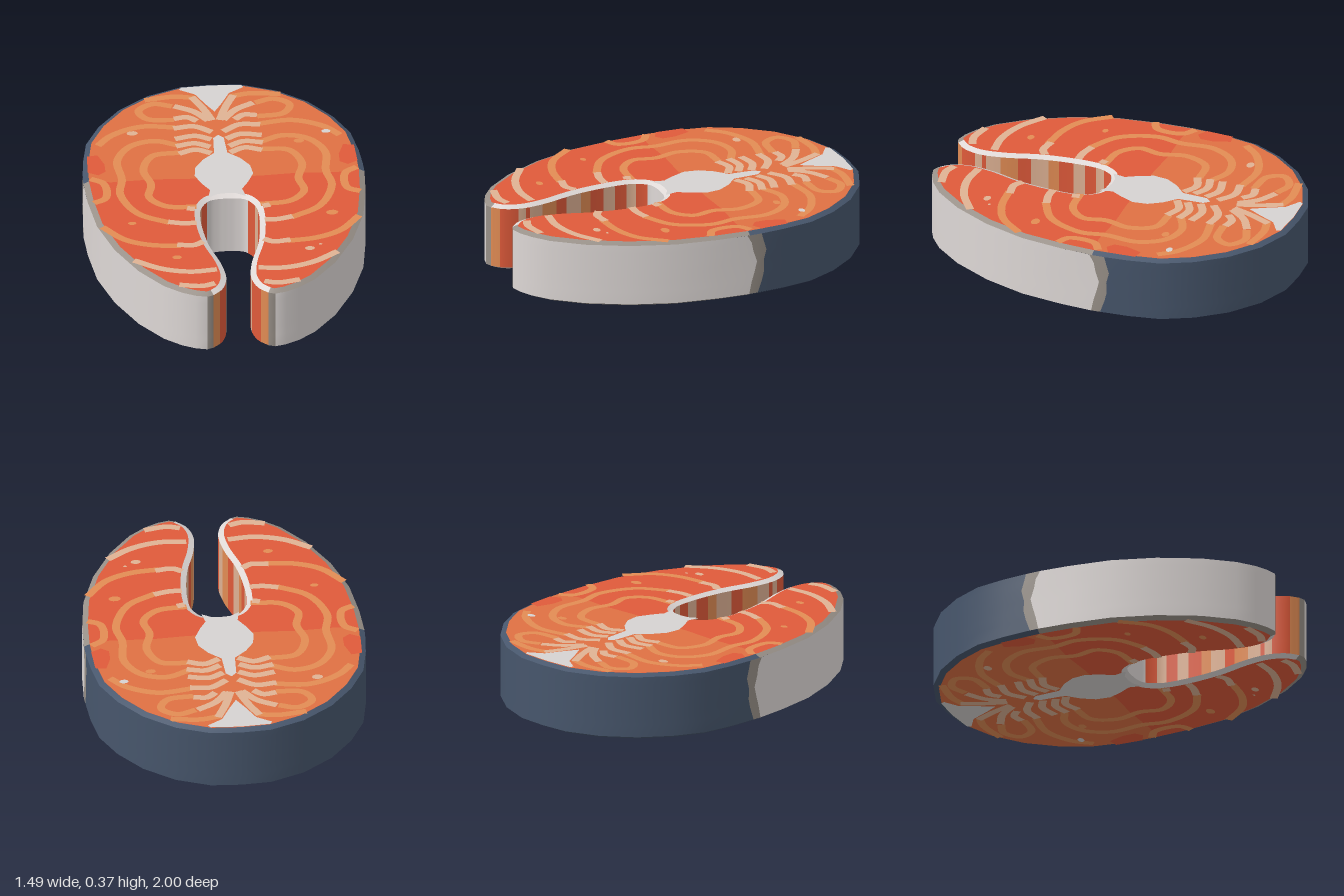
import * as THREE from 'three';

const mat = (name, color, side = THREE.FrontSide) => {
  const m = new THREE.MeshStandardMaterial({ color, side });
  m.name = name;
  return m;
};
const HEIGHT = 0.372, LAYER = 0.0012, CAP = 0.004, BEVEL = 0.03;

// Outer skin of one half, from the back centre round to the belly tip (x, z)
const OUTER = [[0, -1], [0.16, -0.99], [0.34, -0.92], [0.5, -0.8], [0.62, -0.65], [0.7, -0.49], [0.73, -0.32],
  [0.741, -0.2], [0.744, -0.12], [0.735, 0.06], [0.705, 0.29], [0.63, 0.52], [0.52, 0.73], [0.4, 0.88], [0.31, 0.95],
  [0.24, 0.985], [0.18, 1], [0.145, 0.987]];
// Belly cavity, from the tip back to the bone
const INNER = [[0.145, 0.987], [0.095, 0.935], [0.066, 0.84], [0.08, 0.7], [0.13, 0.52], [0.152, 0.36], [0.155, 0.24],
  [0.145, 0.17], [0.1, 0.1], [0.05, 0.083], [0, 0.08]];

const spline = (pts, n) => new THREE.CatmullRomCurve3(pts.map(([x, z]) => new THREE.Vector3(x, 0, z)))
  .getPoints(n).map(p => [p.x, p.z]);

// Even-width band along a curve, as a polygon
function band(pts, w) {
  const c = spline(pts, pts.length * 6), left = [], right = [];
  c.forEach(([x, z], i) => {
    const a = c[Math.max(i - 1, 0)], b = c[Math.min(i + 1, c.length - 1)];
    const l = Math.hypot(b[0] - a[0], b[1] - a[1]) || 1;
    const nx = (b[1] - a[1]) / l * w / 2, nz = -(b[0] - a[0]) / l * w / 2;
    left.push([x + nx, z + nz]);
    right.unshift([x - nx, z - nz]);
  });
  return left.concat(right);
}

// Closed loops stacked into a band of quads, one material index per column
function loft(rings, columnMat, materials, name) {
  const n = rings[0].length, pos = [], idx = [], g = new THREE.BufferGeometry();
  rings.forEach(r => r.forEach(p => pos.push(...p)));
  for (let i = 0; i < n; i++) {
    const start = idx.length, j = (i + 1) % n;
    for (let r = 0; r < rings.length - 1; r++) {
      const a = r * n + i, b = r * n + j, c = a + n, d = b + n;
      idx.push(a, c, b, b, c, d);
    }
    g.addGroup(start, idx.length - start, columnMat(i));
  }
  g.setAttribute('position', new THREE.Float32BufferAttribute(pos, 3));
  g.setIndex(idx);
  g.computeVertexNormals();
  const mesh = new THREE.Mesh(g, materials);
  mesh.name = name;
  return mesh;
}

export function createModel() {
  const model = new THREE.Group();
  model.name = 'fishSteak';
  const navy = mat('darkSkin', 0x47566c), silver = mat('silverSkin', 0xded8d6), taupe = mat('greySkin', 0x989088);
  const red = mat('redFlesh', 0xdf5a3a), orange = mat('orangeFlesh', 0xdf7143);
  const line = mat('orangeFat', 0xe28c54), tan = mat('paleFat', 0xdfb294), bone = mat('bone', 0xd6d2d1);
  const skins = [navy, taupe, silver, red, line, tan];

  // Full outline
  const half = OUTER.concat(spline(INNER, 56).slice(1));
  const outline = half.concat(half.slice(1, -1).reverse().map(([x, z]) => [-x, z]));
  const n = outline.length;
  const inset = d => outline.map(([x, z], i) => {
    const a = outline[(i + n - 1) % n], b = outline[(i + 1) % n];
    const l = Math.hypot(b[0] - a[0], b[1] - a[1]);
    return [x - (b[1] - a[1]) / l * d, z + (b[0] - a[0]) / l * d];
  });
  const halfSegment = i => (i < half.length - 1 ? i : n - 1 - i);

  // Stripes down the cavity wall: [lowest z, material index]
  const wallBands = [[0.95, 4], [0.87, 3], [0.83, 5], [0.79, 3], [0.72, 5], [0.64, 4], [0.55, 3], [0.48, 5], [0.42, 4],
    [0.34, 3], [0.28, 5], [0.21, 3], [0.16, 5], [0.105, 3], [-1, 2]];
  const wallColour = i => {
    const s = halfSegment(i), z = (half[s][1] + half[s + 1][1]) / 2;
    if (s >= OUTER.length - 1) return wallBands.find(b => z > b[0])[1];
    if (s === OUTER.length - 2) return 1;
    return z < -0.2 ? 0 : z < -0.12 ? 1 : 2;
  };
  const rimColour = i => {
    const s = halfSegment(i);
    return s >= OUTER.length - 1 ? 2 : half[s][1] < -0.15 ? 0 : 1;
  };

  // Side wall, with wavy edges on the grey band
  const rows = [[0.02, 0.035, 0.005], [0.09, 0.01, -0.01], [0.14, -0.002, -0.025], [0.2, 0, -0.04],
    [0.26, -0.015, -0.02], [0.31, 0, -0.01], [HEIGHT - 0.018, 0.012, 0.015]];
  const wall = rows.map(([y, navyShift, silverShift]) => outline.map(([x, z]) =>
    [x, y, z + (z === -0.2 ? navyShift : z === -0.12 ? silverShift : 0)]));
  model.add(loft(wall, wallColour, skins, 'sideWall'));

  // Bevelled rims
  const rim = inset(BEVEL);
  const ring = (pts, y) => pts.map(([x, z]) => [x, y, z]);
  model.add(loft([ring(outline, HEIGHT - 0.018), ring(rim, HEIGHT - CAP)], rimColour, skins, 'topRim'));
  model.add(loft([ring(rim, CAP), ring(outline, 0.02)], rimColour, skins, 'bottomRim'));

  // Flat patch on both cut faces, mirrored for each half listed in sides
  function patch(name, pts, material, layer, sides = [1, -1]) {
    for (const sx of sides) for (const up of [1, -1]) {
      const shape = new THREE.Shape(pts.map(([x, z]) => new THREE.Vector2(x * sx, -z * up)));
      const mesh = new THREE.Mesh(new THREE.ShapeGeometry(shape).rotateX(-up * Math.PI / 2), material);
      const depth = CAP - layer * LAYER;
      mesh.position.y = up > 0 ? HEIGHT - depth : depth;
      mesh.name = name;
      model.add(mesh);
    }
  }

  // Cut faces: red belly flesh and orange back flesh
  patch('cutFace', rim, red, 0, [1]);
  const back = rim.slice(0, OUTER.length).filter(p => p[1] < -0.11);
  patch('backFlesh', [...back, [0.6, -0.1], [0.38, -0.11], [0.2, -0.1], [0, -0.1]], orange, 1);
  patch('flankFlesh', [[0.707, -0.35], [0.65, -0.36], [0.62, -0.27], [0.62, -0.2], [0.66, -0.17], [0.714, -0.2]], red, 2);

  // Curved muscle rings
  const fat = [
    [[0.22, -0.79], [0.32, -0.82], [0.4, -0.76], [0.36, -0.68], [0.22, -0.66]],
    [[0.1, -0.86], [0.2, -0.88], [0.36, -0.86]],
    [[0.22, -0.59], [0.4, -0.61], [0.56, -0.54], [0.64, -0.45]],
    [[0.22, -0.42], [0.34, -0.47], [0.47, -0.43], [0.55, -0.3], [0.54, -0.12], [0.56, 0.02], [0.48, 0.21], [0.32, 0.31]],
    [[0.22, -0.35], [0.36, -0.33], [0.42, -0.2], [0.39, -0.06], [0.41, 0.06], [0.33, 0.15], [0.17, 0.17]],
    [[0.705, -0.14], [0.64, -0.09], [0.64, 0.05], [0.705, 0.09]],
    [[0.68, 0.32], [0.57, 0.45], [0.44, 0.51], [0.28, 0.53]]];
  fat.forEach(p => patch('muscleLine', band(p, 0.042), line, 2));

  // Pale feathered lines beside the spine and belly
  const feathers = [
    [[0.02, -0.64], [0.06, -0.76], [0.11, -0.87]], [[0.04, -0.64], [0.11, -0.73], [0.21, -0.79]],
    [[0.1, -0.64], [0.15, -0.68], [0.22, -0.67]], [[0.03, -0.53], [0.12, -0.59], [0.23, -0.58]],
    [[0.04, -0.46], [0.12, -0.5], [0.23, -0.48]], [[0.05, -0.39], [0.13, -0.43], [0.23, -0.41]],
    [[0.05, -0.33], [0.13, -0.37], [0.22, -0.34]], [[0.18, 0.19], [0.22, 0.18]],
    [[0.18, 0.32], [0.25, 0.32], [0.33, 0.3]], [[0.16, 0.5], [0.21, 0.53], [0.3, 0.52]],
    [[0.11, 0.77], [0.25, 0.78], [0.4, 0.74], [0.54, 0.65]], [[0.13, 0.9], [0.2, 0.92], [0.32, 0.9]]];
  feathers.forEach(p => patch('fatLine', band(p, 0.042), tan, 2.5));

  // Backbone and dorsal wedge
  patch('backbone', [[0, -0.5], [0.028, -0.47], [0.035, -0.33], [0.1, -0.27], [0.145, -0.2], [0.155, -0.12], [0.12, -0.04],
    [0.085, 0.02], [0.1, 0.09], [0.05, 0.06], [0, 0.055]], bone, 3);
  patch('dorsalWedge', [[0, -0.97], [0.16, -0.96], [0.17, -0.94], [0.09, -0.89], [0.04, -0.79], [0, -0.72]], bone, 3);

  // Small flecks: x, z, radius, material
  [[-0.45, -0.55, 0.03, tan], [0.57, -0.49, 0.025, bone], [0.42, -0.41, 0.028, line], [0.54, 0.28, 0.033, line],
    [0.395, 0.61, 0.027, tan], [0.455, 0.575, 0.01, tan], [-0.31, 0.64, 0.026, line], [-0.52, 0.3, 0.022, line]]
    .forEach(([x, z, r, m]) => patch('fleck', Array.from({ length: 10 }, (_, k) =>
      [x + r * Math.cos(k * Math.PI / 5), z + 0.7 * r * Math.sin(k * Math.PI / 5)]), m, 3, [1]));

  return model;
}
